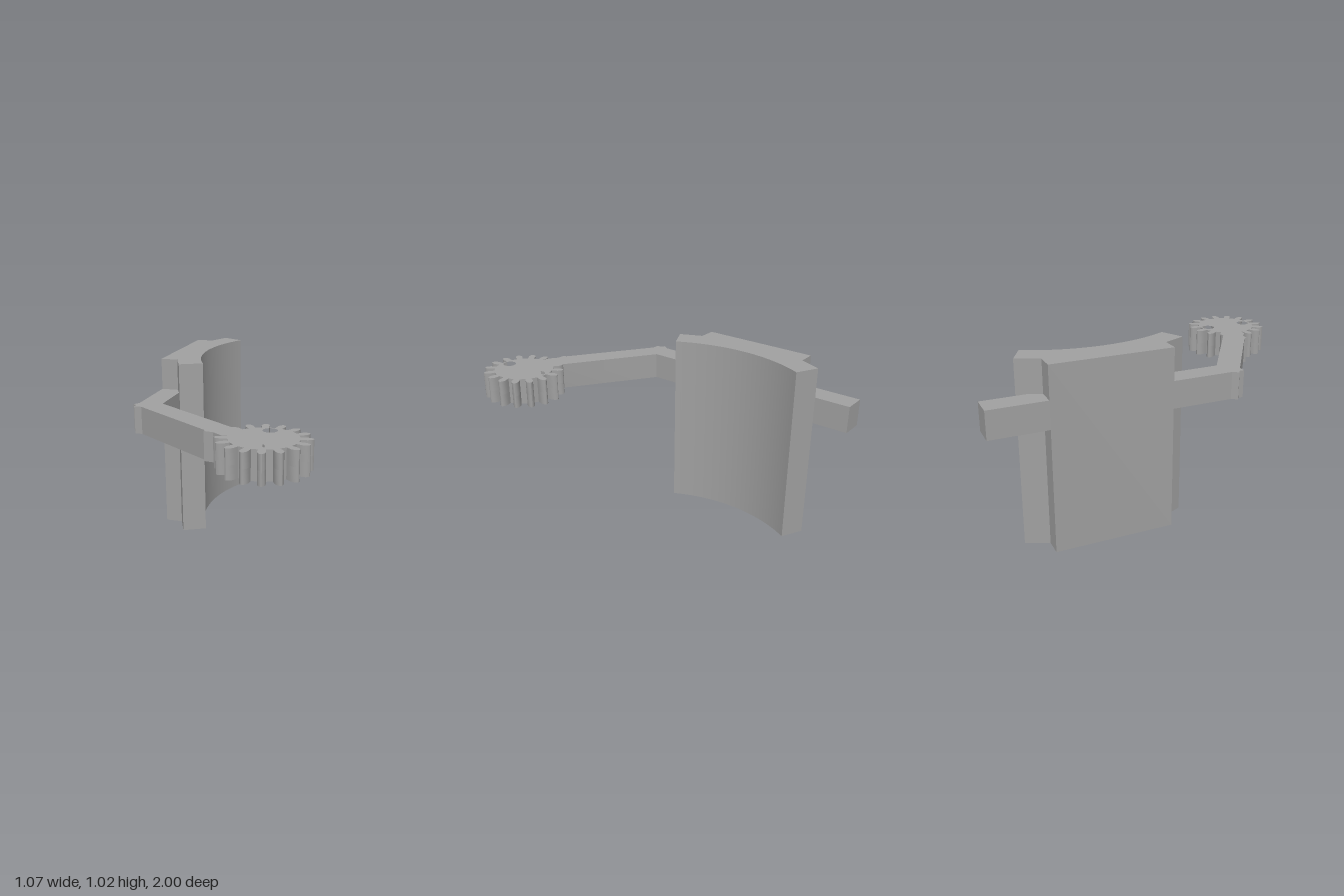
import * as THREE from 'three';
import { toCreasedNormals } from 'three/addons/utils/BufferGeometryUtils.js';

const ARM_Y = 0.69, ARM_H = 0.153;

// Plan outlines use [x, z]; the shape's y axis is -z so the extrusion rises along +y.
const outline = (points) => new THREE.Shape(points.map(([x, z]) => new THREE.Vector2(x, -z)));

export function createModel() {
  const group = new THREE.Group();
  const grey = new THREE.MeshStandardMaterial({ color: 0xa0a0a0 });
  grey.name = 'grey';

  function addPlate(name, shape, y, height) {
    const geo = new THREE.ExtrudeGeometry(shape, { depth: height, bevelEnabled: false, curveSegments: 32 });
    geo.rotateX(-Math.PI / 2);
    geo.translate(0, y, 0);
    const mesh = new THREE.Mesh(toCreasedNormals(geo, 0.4), grey);
    mesh.name = name;
    group.add(mesh);
  }

  // Tall pad with a hollow, curved face
  const padZ = -0.353, arcX = 0.51, arcR = 0.845, arcHalf = Math.asin(0.395 / arcR);
  const half = [[-0.513, 0.333], [-0.415, 0.333], [-0.36, 0.457], [-0.237, 0.395]];
  const pad = half.map(([x, z]) => [x, padZ - z]);
  for (let i = 1; i < 32; i++) {
    const a = -arcHalf + (2 * arcHalf * i) / 32;
    pad.push([arcX - arcR * Math.cos(a), padZ + arcR * Math.sin(a)]);
  }
  for (const [x, z] of [...half].reverse()) pad.push([x, padZ + z]);
  addPlate('curvedPad', outline(pad), 0, 1.023);

  // Straight bar bending into the angled arm
  addPlate('bentArm', outline([
    [-0.513, -1], [-0.385, -1], [-0.385, 0.303], [0.108, 0.637], [0.16, 0.652],
    [0.16, 0.78], [0.095, 0.778], [0.045, 0.742], [-0.005, 0.735], [-0.005, 0.718],
    [-0.472, 0.397], [-0.513, 0.397], [-0.513, 0.37], [-0.535, 0.355], [-0.513, 0.323],
  ]), ARM_Y, ARM_H);

  // Gear with sixteen rounded teeth
  const gearX = 0.302, gearZ = 0.767, teeth = 16;
  const flank = [[0.172, 0.017], [0.187, 0.019], [0.205, 0.0205], [0.221, 0.017], [0.231, 0.01], [0.2355, 0.003]];
  const tooth = [
    ...flank.map(([r, w]) => [r, -w]),
    ...[...flank].reverse(),
  ];
  const gear = [];
  for (let i = 0; i < teeth; i++) {
    const a = ((i + 0.5) / teeth) * Math.PI * 2, c = Math.cos(a), s = Math.sin(a);
    for (const [r, w] of tooth) gear.push([gearX + r * c - w * s, gearZ + r * s + w * c]);
  }

  // Solid lower layer, then an upper layer pierced by two blind holes
  const holeDepth = 0.08;
  addPlate('gearBase', outline(gear), ARM_Y, ARM_H - holeDepth);
  const top = outline(gear);
  for (const side of [-1, 1]) {
    const hole = new THREE.Path();
    hole.absarc(gearX, -(gearZ + side * 0.127), 0.037, 0, Math.PI * 2, true);
    top.holes.push(hole);
  }
  addPlate('gearTop', top, ARM_Y + ARM_H - holeDepth, holeDepth);

  return group;
}
